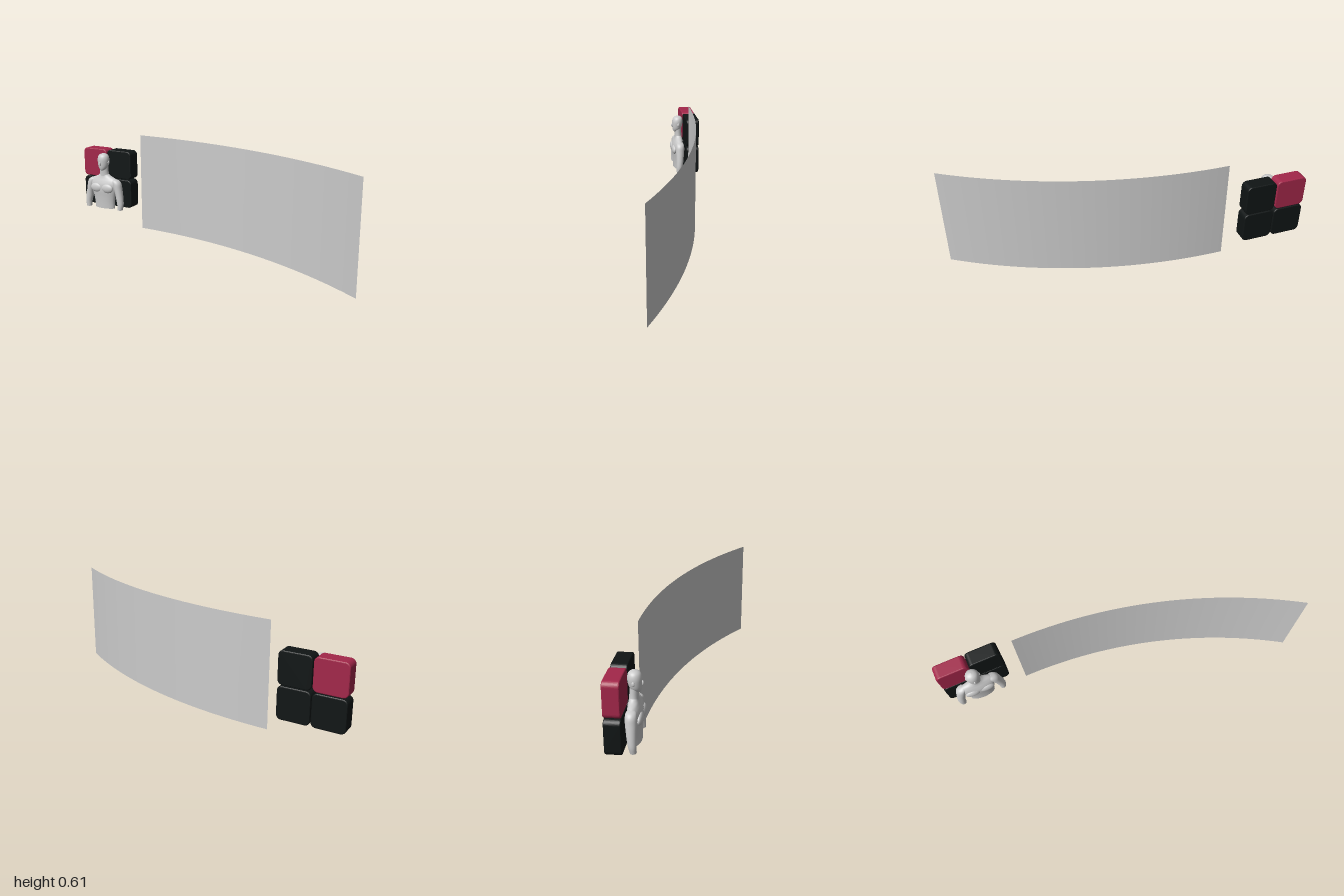
import * as THREE from 'three';

const grey = new THREE.MeshStandardMaterial({ color: 0xcccccc });
const wallGrey = new THREE.MeshStandardMaterial({ color: 0xcccccc, side: THREE.DoubleSide });
const red = new THREE.MeshStandardMaterial({ color: 0xa3274a });
const black = new THREE.MeshStandardMaterial({ color: 0x101515 });

function add(parent, name, geometry, material, x = 0, y = 0, z = 0) {
  const mesh = new THREE.Mesh(geometry, material);
  mesh.name = name;
  mesh.position.set(x, y, z);
  parent.add(mesh);
  return mesh;
}

// Smooth closed body through elliptical sections [y, centre x, centre z, radius x, radius z]
function loft(sections, rows = 24, sides = 28) {
  const centres = new THREE.CatmullRomCurve3(sections.map(s => new THREE.Vector3(s[1], s[0], s[2])));
  const radii = new THREE.CatmullRomCurve3(sections.map(s => new THREE.Vector3(s[3], 0, s[4])));
  centres.curveType = radii.curveType = 'catmullrom';
  const geo = new THREE.CylinderGeometry(1, 1, 1, sides, rows, false, Math.PI);
  const p = geo.attributes.position;
  for (let i = 0; i < p.count; i++) {
    const t = THREE.MathUtils.clamp(p.getY(i) + 0.5, 0, 1);
    const c = centres.getPoint(t), r = radii.getPoint(t);
    p.setXYZ(i, c.x + p.getX(i) * r.x, c.y, c.z + p.getZ(i) * r.z);
  }
  geo.computeVertexNormals();
  return geo;
}

function ellipsoid(rx, ry, rz) {
  return new THREE.SphereGeometry(1, 20, 14).scale(rx, ry, rz);
}

// Square with rounded corners, extruded along z with a small bevel
function roundedTile(size, depth, radius, bevel) {
  const h = size / 2 - bevel, r = radius - bevel;
  const s = new THREE.Shape();
  s.absarc(h - r, h - r, r, 0, Math.PI / 2);
  s.absarc(-h + r, h - r, r, Math.PI / 2, Math.PI);
  s.absarc(-h + r, -h + r, r, Math.PI, Math.PI * 1.5);
  s.absarc(h - r, -h + r, r, Math.PI * 1.5, Math.PI * 2);
  return new THREE.ExtrudeGeometry(s, {
    depth: depth - 2 * bevel, bevelSize: bevel, bevelThickness: bevel, bevelSegments: 3, curveSegments: 6,
  }).translate(0, 0, bevel - depth / 2);
}

function createBust() {
  const bust = new THREE.Group();
  bust.name = 'bust';

  // Torso from waist to the base of the neck
  add(bust, 'torso', loft([
    [0.11, 0, -0.157, 0.074, 0.03],
    [0.15, 0, -0.156, 0.076, 0.031],
    [0.19, 0, -0.155, 0.084, 0.033],
    [0.23, 0, -0.154, 0.096, 0.036],
    [0.265, 0, -0.155, 0.108, 0.036],
    [0.29, 0, -0.158, 0.108, 0.032],
    [0.308, 0, -0.16, 0.085, 0.027],
    [0.322, 0, -0.161, 0.05, 0.024],
    [0.335, 0, -0.161, 0.032, 0.022],
  ], 32), grey);

  // Neck and head
  add(bust, 'neck', loft([
    [0.31, 0, -0.161, 0.04, 0.024],
    [0.34, 0, -0.16, 0.031, 0.023],
    [0.39, 0, -0.157, 0.03, 0.023],
  ], 8), grey);
  add(bust, 'head', loft([
    [0.362, 0, -0.143, 0.01, 0.012],
    [0.368, 0, -0.146, 0.02, 0.02],
    [0.385, 0, -0.151, 0.032, 0.029],
    [0.41, 0, -0.154, 0.038, 0.034],
    [0.435, 0, -0.155, 0.039, 0.035],
    [0.455, 0, -0.156, 0.033, 0.03],
    [0.466, 0, -0.157, 0.02, 0.019],
    [0.471, 0, -0.157, 0.003, 0.003],
  ], 28), grey);
  add(bust, 'nose', ellipsoid(0.006, 0.013, 0.007), grey, 0, 0.407, -0.119);

  for (const side of [-1, 1]) {
    // Shoulder and arm hanging outwards beside the body
    const arm = [
      [0.108, 0.124, -0.148, 0.017, 0.016],
      [0.14, 0.126, -0.151, 0.021, 0.02],
      [0.175, 0.121, -0.154, 0.024, 0.023],
      [0.21, 0.115, -0.156, 0.025, 0.025],
      [0.25, 0.105, -0.158, 0.028, 0.028],
      [0.28, 0.097, -0.159, 0.03, 0.028],
      [0.298, 0.087, -0.16, 0.025, 0.023],
      [0.307, 0.08, -0.16, 0.008, 0.008],
    ].map(([y, x, z, rx, rz]) => [y, side * x, z, rx, rz]);
    add(bust, 'arm', loft(arm), grey);
    add(bust, 'chestMuscle', ellipsoid(0.045, 0.03, 0.016), grey, side * 0.042, 0.246, -0.127);
    add(bust, 'ear', ellipsoid(0.005, 0.012, 0.008), grey, side * 0.039, 0.414, -0.156);
  }
  bust.position.x = -0.815;
  return bust;
}

export function createModel() {
  const model = new THREE.Group();
  model.name = 'displayWall';

  // Curved wall: an arc that starts parallel to x and swings forward
  const radius = 2.85, sweep = 0.573, height = 0.605;
  add(model, 'curvedWall',
    new THREE.CylinderGeometry(radius, radius, height, 32, 1, true, Math.PI - sweep, sweep),
    wallGrey, -0.545, height / 2, radius - 0.185);

  // Two by two block of rounded tiles, one of them red
  const tile = roundedTile(0.183, 0.082, 0.028, 0.006);
  for (const col of [0, 1]) {
    for (const row of [0, 1]) {
      const isRed = col === 0 && row === 1;
      add(model, isRed ? 'redTile' : 'blackTile', tile, isRed ? red : black,
        -0.908 + col * 0.187, 0.2085 + row * 0.188, -0.23);
    }
  }

  model.add(createBust());
  return model;
}
